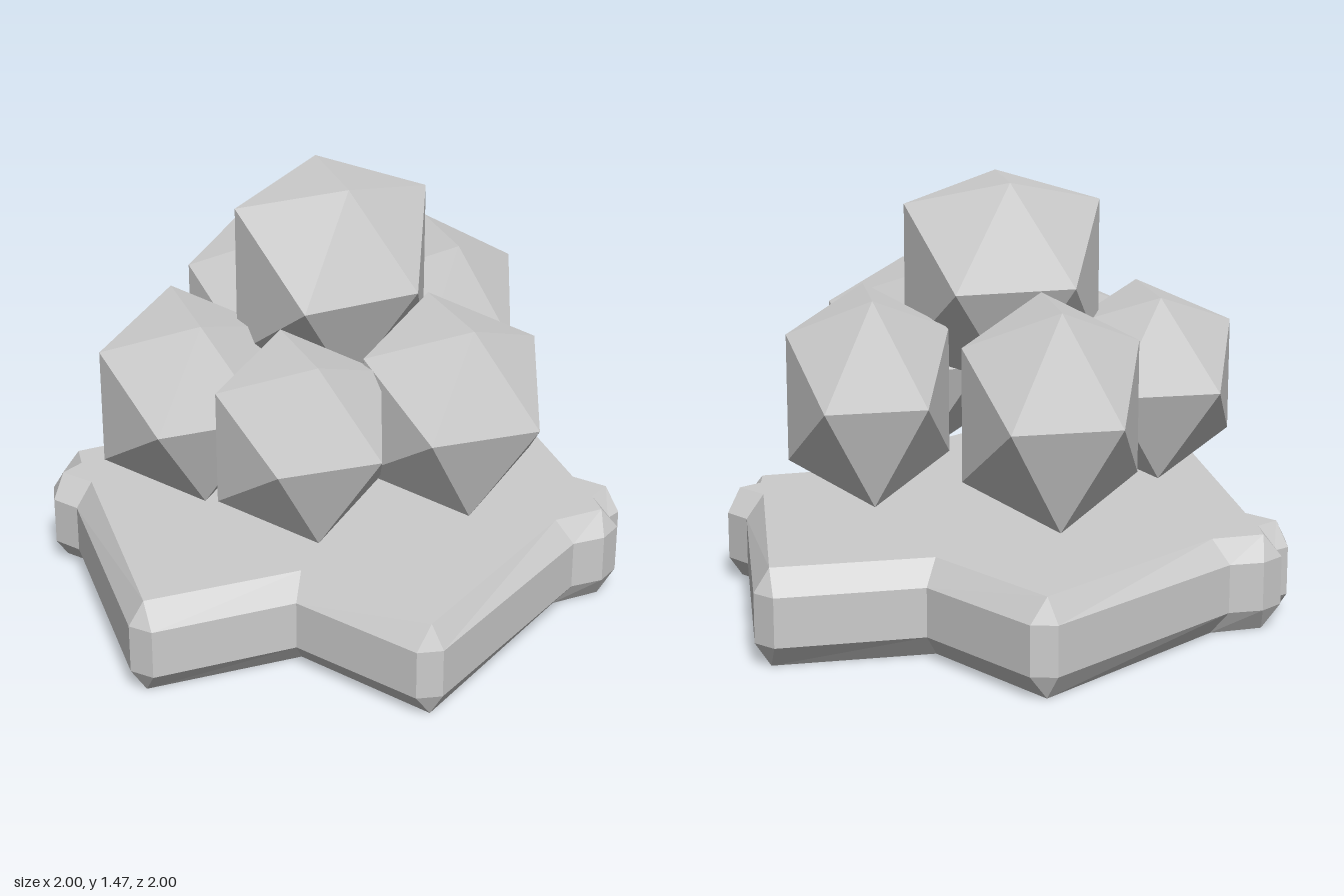
import * as THREE from 'three';
import { ConvexGeometry } from 'three/addons/geometries/ConvexGeometry.js';

// One half of the slab outline: side x, z and the matching bevelled rim x, z.
// The other half is the same turned by 180 degrees.
const HALF_OUTLINE = [
  [-0.03, -0.73, -0.03, -0.655],
  [0.375, -1.0, 0.415, -0.945], [0.457, -0.975, 0.415, -0.945],
  [0.865, -0.245, 0.825, -0.19],
  [0.963, -0.2, 0.945, -0.14], [0.995, -0.11, 0.945, -0.14],
  [0.963, -0.055, 0.905, -0.055],
  [1.0, 0.0, 0.945, 0.035], [0.963, 0.09, 0.945, 0.035],
  [0.865, 0.155, 0.8, 0.145],
  [0.54, 0.92, 0.497, 0.9], [0.46, 0.95, 0.497, 0.9],
];

// Slab with chamfered edges, lofted through four rings and capped
function slabGeometry() {
  const outline = [...HALF_OUTLINE, ...HALF_OUTLINE.map(p => p.map(v => -v))];
  const ring = (k, y) => outline.map(p => new THREE.Vector3(p[k], y, p[k + 1]));
  const rings = [ring(2, 0), ring(0, 0.08), ring(0, 0.245), ring(2, 0.325)];
  const pos = [];
  const normal = (a, b, c) => b.clone().sub(a).cross(c.clone().sub(a));
  const tri = (a, b, c) => {
    if (normal(a, b, c).length() < 1e-7) return;
    for (const v of [a, b, c]) pos.push(v.x, v.y, v.z);
  };

  // Sides and chamfers
  const n = outline.length;
  for (let r = 0; r < 3; r++) {
    for (let i = 0; i < n; i++) {
      const j = (i + 1) % n;
      const [lo, hi] = [rings[r], rings[r + 1]];
      tri(lo[i], hi[i], lo[j]);
      tri(lo[j], hi[i], hi[j]);
    }
  }

  // Top and bottom caps, leaving out the doubled corner points
  const same = (a, b) => a.distanceTo(b) < 1e-6;
  const unique = list => list.filter((v, i) => !same(v, list[(i + 1) % n]));
  const top = unique(rings[3]);
  const bottom = unique(rings[0]);
  const faces = THREE.ShapeUtils.triangulateShape(
    top.map(v => new THREE.Vector2(v.x, v.z)), []);
  for (const [a, b, c] of faces) {
    const up = normal(top[a], top[b], top[c]).y > 0;
    const [p, q] = up ? [b, c] : [c, b];
    tri(top[a], top[p], top[q]);
    tri(bottom[a], bottom[q], bottom[p]);
  }

  const geo = new THREE.BufferGeometry();
  geo.setAttribute('position', new THREE.Float32BufferAttribute(pos, 3));
  geo.computeVertexNormals();
  return geo;
}

// Twenty-sided crystal: a tip, a ring of five points, and their opposites
function crystalGeometry(tip, ring) {
  const half = [new THREE.Vector3(0, 0, tip), ...ring.map(p => new THREE.Vector3(...p))];
  return new ConvexGeometry([...half, ...half.map(v => v.clone().negate())]);
}

// Regular ring of five points, stretched per axis
function evenRing(sx, sy, sz) {
  return Array.from({ length: 5 }, (_, i) => {
    const a = (i / 5) * Math.PI * 2;
    return [0.894 * sx * Math.cos(a), 0.894 * sy * Math.sin(a), 0.447 * sz];
  });
}

export function createModel() {
  const group = new THREE.Group();
  const stone = new THREE.MeshStandardMaterial({ color: 0xcccccc, flatShading: true });
  stone.name = 'pale grey';

  const add = (name, geo, position) => {
    const mesh = new THREE.Mesh(geo, stone);
    mesh.name = name;
    mesh.position.set(...position);
    group.add(mesh);
  };

  add('baseSlab', slabGeometry(), [0, 0, 0]);

  // Large crystal on top of the cluster
  add('topCrystal', crystalGeometry(0.42, [
    [0.32, 0, 0.16],
    [0.09, 0.34, 0.165], [-0.285, 0.255, 0.18],
    [-0.285, -0.255, 0.18], [0.09, -0.34, 0.165],
  ]), [0, 1.125, 0.018]);

  // Ring of five crystals below it: name, centre, stretch
  const crystals = [
    ['frontCrystal', [0, 0.745, 0.53], [0.33, 0.36, 0.31]],
    ['leftCrystal', [0.44, 0.775, 0.255], [0.355, 0.385, 0.335]],
    ['rightCrystal', [-0.435, 0.75, 0.29], [0.345, 0.37, 0.365]],
    ['backRightCrystal', [-0.33, 0.775, -0.41], [0.335, 0.415, 0.36]],
    ['backLeftCrystal', [0.3, 0.785, -0.43], [0.31, 0.4, 0.335]],
  ];
  for (const [name, centre, size] of crystals) {
    add(name, crystalGeometry(size[2], evenRing(...size)), centre);
  }

  return group;
}
